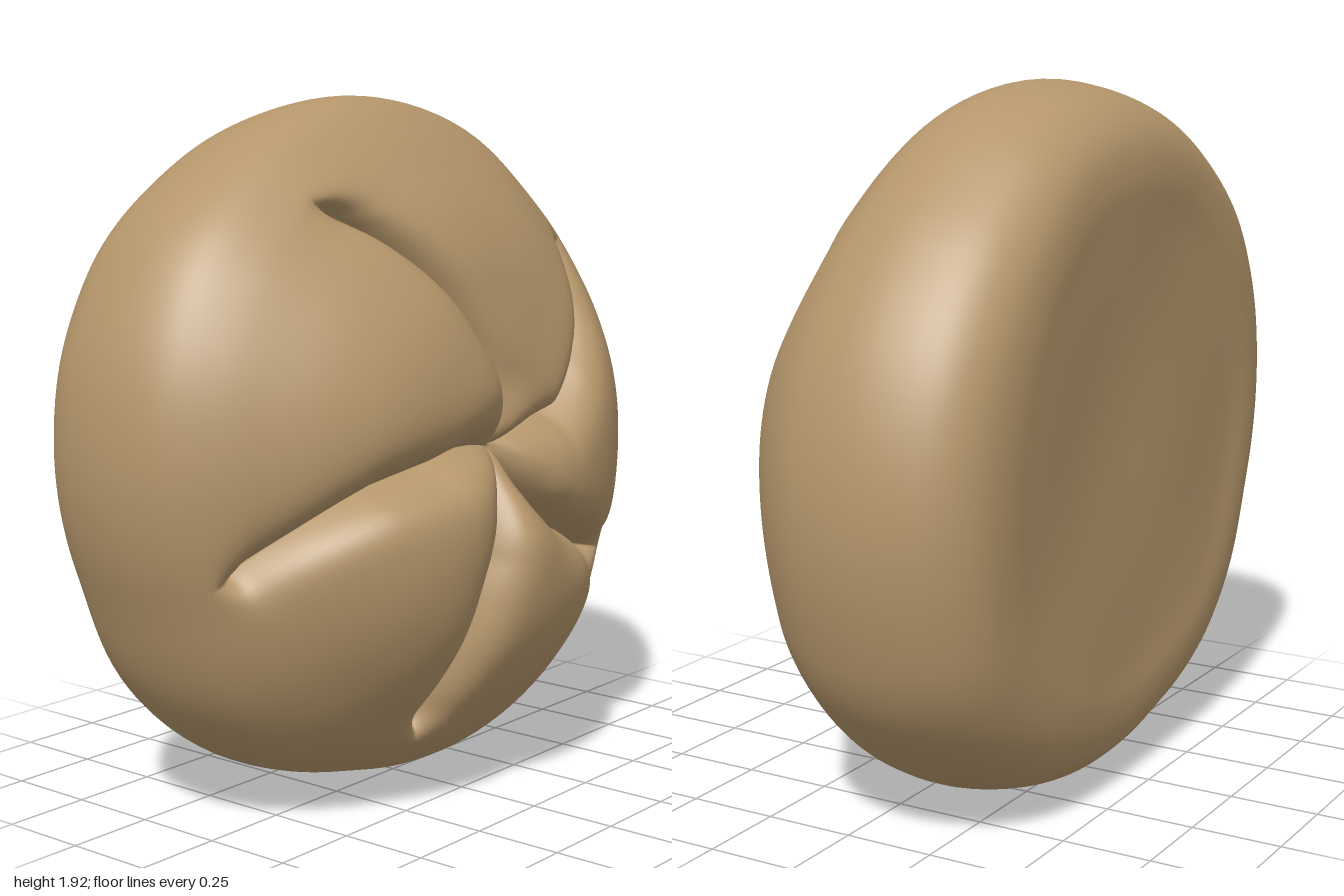
import * as THREE from 'three';
import { mergeVertices } from 'three/addons/utils/BufferGeometryUtils.js';

const { lerp, degToRad, smoothstep, clamp } = THREE.MathUtils;

// Linear lookup in two short lists
function lookup(xs, ys, x) {
  if (x <= xs[0]) return ys[0];
  for (let i = 1; i < xs.length; i++) {
    if (x <= xs[i]) return lerp(ys[i - 1], ys[i], (x - xs[i - 1]) / (xs[i] - xs[i - 1]));
  }
  return ys[ys.length - 1];
}

// Slightly uneven outline: radius by angle in degrees
const OUT_A = [-31, -20, 0, 20, 33.5, 51, 64, 83, 106, 127, 143, 162, 180, 201, 217, 232, 256, 273, 290, 304, 317, 329];
const OUT_R = [1.04, 1.02, 1, 0.98, 0.96, 0.95, 0.965, 0.96, 0.962, 0.982, 1.017, 1.02, 1, 0.97, 0.995, 0.99, 0.945, 0.96, 0.99, 1.02, 1.03, 1.04];
function outline(deg) {
  let sum = 0;
  for (const o of [-4, -2, 0, 2, 4]) {
    const a = ((deg + o + 31) % 360 + 360) % 360 - 31;
    sum += lookup(OUT_A, OUT_R, a);
  }
  return sum / 5;
}

// Five curved cuts: angle in degrees at each radius, and the radius where the cut ends
const CUT_R = [0.1, 0.3, 0.5, 0.7, 0.85];
const CUTS = [
  { angle: [20, 15, 27, 36, 40], end: 0.9 },
  { angle: [90, 98, 107, 116, 124], end: 0.88 },
  { angle: [168, 180, 184, 191, 196], end: 0.93 },
  { angle: [247, 254, 255, 256, 257], end: 0.86 },
  { angle: [306, 319, 326, 329, 332], end: 0.87 },
];
// Extra puff of the lobe that follows each cut
const PUFF = [-0.045, 0.03, 0.045, 0.04, 0];

const cutAngle = (i, t) => lookup(CUT_R, CUTS[i % 5].angle, t) + (i >= 5 ? 360 : 0);
const cutDepth = (i, t) =>
  lookup([0, 0.1, 0.3, 0.6, 0.8], [0.07, 0.11, 0.16, 0.15, 0.13], t) *
  (1 - smoothstep(t, CUTS[i % 5].end - 0.12, CUTS[i % 5].end));

// Cross-section from the centre of the back to the centre of the front
const profile = new THREE.SplineCurve([
  [0, -0.445], [0.3, -0.45], [0.6, -0.46], [0.75, -0.467], [0.86, -0.442], [0.94, -0.37],
  [0.985, -0.26], [1, -0.12], [0.97, 0.03], [0.89, 0.15], [0.78, 0.25], [0.65, 0.34],
  [0.5, 0.405], [0.3, 0.44], [0.15, 0.43], [0, 0.42],
].map(([r, z]) => new THREE.Vector2(r, z)));

function rollGeometry() {
  const rows = 120, perLobe = 40, cols = perLobe * 5;
  const pos = [], index = [];
  for (let j = 0; j <= rows; j++) {
    const p = profile.getPoint(j / rows);
    const t = clamp(p.x, 0, 1);
    const front = p.y > -0.25;
    for (let c = 0; c < cols; c++) {
      const lobe = Math.floor(c / perLobe);
      const u = (c % perLobe) / perLobe;
      // Columns crowd together towards the cuts
      const s = lerp(u, (1 - Math.cos(Math.PI * u)) / 2, 0.85);
      const ra = front ? t : 0.85;
      const a0 = cutAngle(lobe, ra), a1 = cutAngle(lobe + 1, ra);
      const deg = lerp(a0, a1, s), a = degToRad(deg);
      const r = t * outline(deg);
      let x = r * Math.cos(a), y = r * Math.sin(a);
      // The whole roll leans a little forward on one side
      let z = p.y - 0.018 * x;
      if (front) {
        // Rounded shoulders sinking into the cuts on both sides of the lobe
        const arc = degToRad(a1 - a0) * t;
        z -= cutDepth(lobe, t) * Math.exp(-arc * s / 0.035);
        z -= cutDepth(lobe + 1, t) * Math.exp(-arc * (1 - s) / 0.052);
        const ring = smoothstep(t, 0.04, 0.25) * (1 - smoothstep(t, 0.4, 0.9));
        z += PUFF[lobe] * Math.sqrt(Math.sin(Math.PI * s)) * ring;
        // The upper half slopes back and the lower half bulges forward
        const up = Math.sin(a);
        z -= (up > 0 ? 0.1 : -0.04) * up * up * t * smoothstep(p.y, -0.25, 0.25);
        // The cuts meet a little to one side of the middle
        const shift = 1 - smoothstep(t, 0, 0.4);
        x += 0.045 * shift;
        y += 0.015 * shift;
      } else {
        // Faint unevenness of the flat base
        z += 0.008 * Math.sin(7 * x + 2 * y) * Math.cos(4 * y - x) * (1 - smoothstep(t, 0.6, 0.9));
      }
      pos.push(x, y + 0.96, z);
      if (j < rows) {
        const next = j * cols + (c + 1) % cols, here = j * cols + c;
        if (j > 0) index.push(here, next, here + cols);
        if (j < rows - 1) index.push(next, next + cols, here + cols);
      }
    }
  }
  let g = new THREE.BufferGeometry();
  g.setAttribute('position', new THREE.Float32BufferAttribute(pos, 3));
  g.setIndex(index);
  g = mergeVertices(g, 1e-5);
  g.computeVertexNormals();
  return g;
}

export function createModel() {
  const group = new THREE.Group();
  group.name = 'breadRoll';
  const crust = new THREE.MeshStandardMaterial({ color: 0xb5966b });
  crust.name = 'crust';
  const roll = new THREE.Mesh(rollGeometry(), crust);
  roll.name = 'rollBody';
  group.add(roll);
  return group;
}
